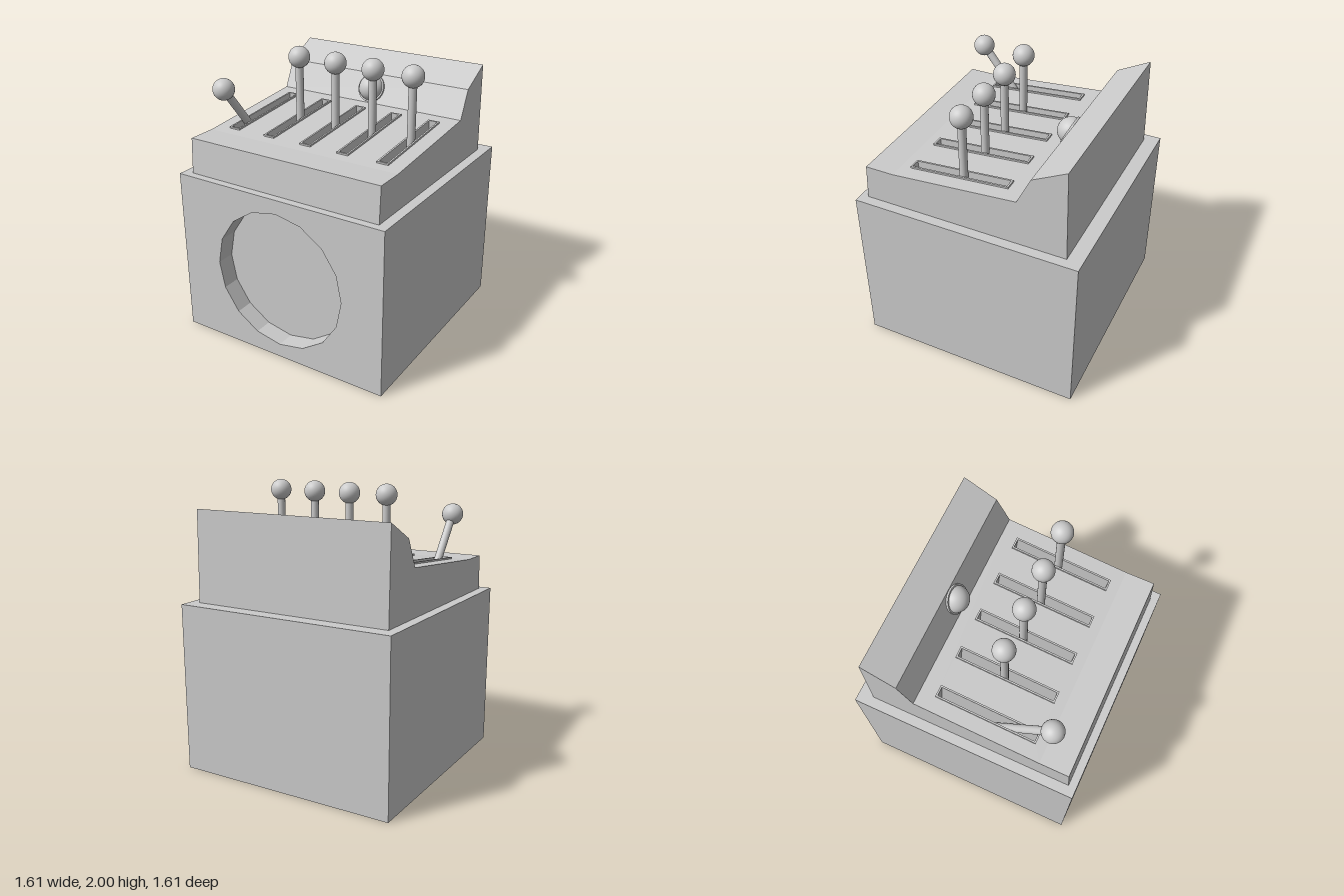
import * as THREE from 'three';

const mat = new THREE.MeshStandardMaterial({ color: 0xcccccc });

function add(parent, name, geometry, x = 0, y = 0, z = 0) {
  const mesh = new THREE.Mesh(geometry, mat);
  mesh.name = name;
  mesh.position.set(x, y, z);
  parent.add(mesh);
  return mesh;
}

// Rectangle outline, used both as a shape and as a hole
function rect(Type, x0, x1, y0, y1) {
  const p = new Type();
  p.moveTo(x0, y0);
  p.lineTo(x1, y0);
  p.lineTo(x1, y1);
  p.lineTo(x0, y1);
  p.closePath();
  return p;
}

export function createModel() {
  const model = new THREE.Group();
  model.name = 'leverConsole';

  // Base: solid block with a front plate that has a 16-sided round recess
  const half = 0.805, recess = 0.13;
  add(model, 'baseBlock', new THREE.BoxGeometry(half * 2, 1.2, half * 2 - recess), 0, 0.6, -recess / 2);
  const plate = rect(THREE.Shape, -half, half, 0, 1.2);
  const hole = new THREE.Path();
  hole.absarc(0, 0.6, 0.5, 0, Math.PI * 2, true);
  plate.holes.push(hole);
  add(model, 'baseFrontPlate',
    new THREE.ExtrudeGeometry(plate, { depth: recess, bevelEnabled: false, curveSegments: 8 }), 0, 0, half - recess);

  // Console side profile as [z, y], front to back; edge 2-3 is the slotted deck
  const w = 0.735;
  const profile = [[0.75, 1.2], [0.735, 1.45], [0.53, 1.45], [-0.355, 1.527], [-0.45, 1.722], [-0.685, 1.843], [-0.7, 1.2]];
  const skin = [];
  for (let i = 0; i < profile.length - 1; i++) {
    if (i === 2) continue;
    const [az, ay] = profile[i], [bz, by] = profile[i + 1];
    skin.push(-w, ay, az, w, ay, az, w, by, bz, -w, ay, az, w, by, bz, -w, by, bz);
  }
  const shell = new THREE.BufferGeometry();
  shell.setAttribute('position', new THREE.Float32BufferAttribute(skin, 3));
  shell.computeVertexNormals();
  add(model, 'consoleShell', shell);

  for (const side of [1, -1]) {
    const outline = new THREE.Shape(profile.map(([z, y]) => new THREE.Vector2(-side * z, y)));
    const cheek = add(model, side > 0 ? 'leftCheek' : 'rightCheek', new THREE.ShapeGeometry(outline), side * w);
    cheek.rotation.y = side * Math.PI / 2;
  }

  // Sloping deck: local y runs towards the back, local z points out of the deck
  const [fz, fy] = profile[2], [bz, by] = profile[3];
  const length = Math.hypot(fz - bz, by - fy);
  const slope = Math.atan2(by - fy, fz - bz);
  const deck = new THREE.Group();
  deck.name = 'deck';
  deck.position.set(0, fy, fz);
  deck.rotation.x = slope - Math.PI / 2;
  model.add(deck);

  const slots = [-0.59, -0.295, 0, 0.29, 0.585];
  const y0 = 0.072, y1 = 0.782, hw = 0.042, lip = 0.012, depth = 0.3;
  const sheet = rect(THREE.Shape, -w, w, 0, length);
  for (const x of slots) {
    sheet.holes.push(rect(THREE.Path, x - hw, x + hw, y0, y1));
    // Raised rim whose inner walls line the deep slot
    const rim = rect(THREE.Shape, -hw, hw, y0, y1);
    rim.holes.push(rect(THREE.Path, -hw + lip, hw - lip, y0 + lip, y1 - lip));
    add(deck, 'slotLining',
      new THREE.ExtrudeGeometry(rim, { depth: depth + lip, bevelEnabled: false }), x, 0, -depth);
  }
  add(deck, 'deckSheet', new THREE.ShapeGeometry(sheet));

  // Levers pivot deep in the slots; the right-hand one is pulled forward
  const reach = 0.745;
  slots.forEach((x, i) => {
    const lever = new THREE.Group();
    lever.name = 'lever';
    lever.position.set(x, 1.18, 0.085);
    lever.rotation.x = i === 0 ? 0.666 : 0;
    add(lever, 'leverRod', new THREE.CylinderGeometry(0.028, 0.028, reach, 20), 0, reach / 2);
    add(lever, 'leverKnob', new THREE.SphereGeometry(0.075, 32, 20), 0, reach);
    model.add(lever);
  });

  // Round lamp with a thin collar on the steep panel behind the levers
  const lamp = new THREE.Group();
  lamp.name = 'lamp';
  lamp.position.set(0, 1.625, -0.403);
  lamp.rotation.x = Math.atan2(0.195, 0.095);
  lamp.rotation.x = Math.PI / 2 - Math.atan2(0.095, 0.195);
  add(lamp, 'lampCollar', new THREE.CylinderGeometry(0.103, 0.103, 0.03, 32));
  add(lamp, 'lampDome', new THREE.SphereGeometry(0.093, 32, 20));
  model.add(lamp);

  return model;
}
